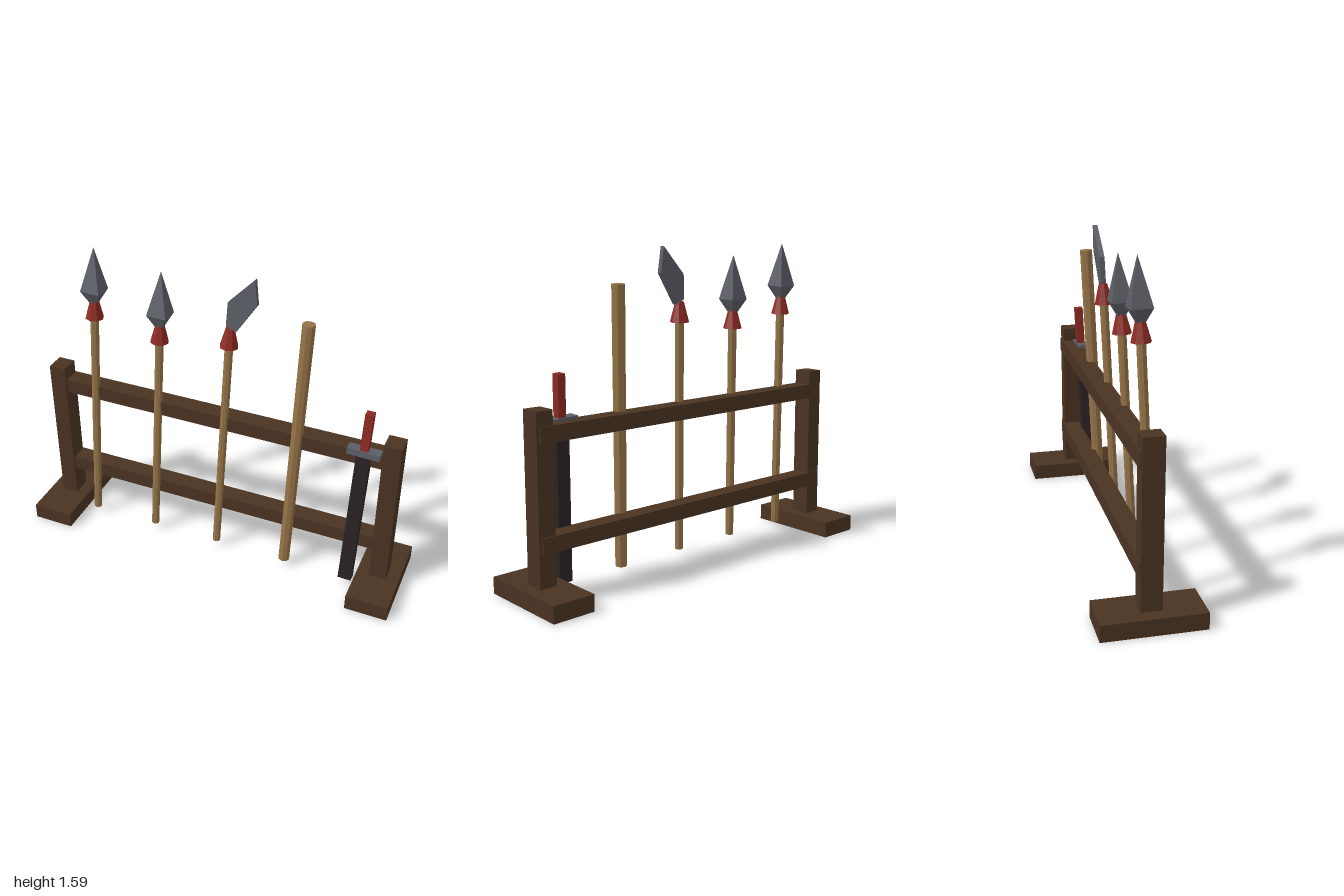
import * as THREE from 'three';

const mat = (name, color, side = THREE.FrontSide) => {
  const m = new THREE.MeshStandardMaterial({ color, side, flatShading: true });
  m.name = name;
  return m;
};

export function createModel() {
  const darkWood = mat('dark wood', 0x4a3322, THREE.DoubleSide);
  const paleWood = mat('pale wood', 0x957448);
  const red = mat('red wrap', 0x8e2a22);
  const steel = mat('steel', 0x5b5e66);
  const leather = mat('dark leather', 0x2b2224);

  const model = new THREE.Group();
  model.name = 'weaponRack';

  const add = (parent, name, geometry, material, x, y, z) => {
    const mesh = new THREE.Mesh(geometry, material);
    mesh.name = name;
    mesh.position.set(x, y, z);
    parent.add(mesh);
    return mesh;
  };
  const box = (w, h, d) => new THREE.BoxGeometry(w, h, d);

  // Foot: a box open underneath
  const openBox = (w, h, d) => {
    const g = box(w, h, d);
    const index = Array.from(g.index.array);
    index.splice(18, 6);
    g.setIndex(index);
    g.clearGroups();
    return g;
  };

  // Frame
  for (const [side, s] of [['left', 1], ['right', -1]]) {
    add(model, side + 'Foot', openBox(0.216, 0.082, 0.488), darkWood, s * 0.892, 0.041, 0);
    add(model, side + 'Post', box(0.088, 0.81, 0.1), darkWood, s * 0.892, 0.485, 0);
  }
  add(model, 'upperRail', box(1.84, 0.076, 0.092), darkWood, 0, 0.782, -0.011);
  add(model, 'lowerRail', box(1.84, 0.076, 0.092), darkWood, 0, 0.28, -0.011);

  // A group standing at its foot and leaning back against the rails
  const up = new THREE.Vector3(0, 1, 0);
  const leaning = (name, x, z, dx, dz) => {
    const g = new THREE.Group();
    g.name = name;
    g.position.set(x, 0.042, z);
    g.quaternion.setFromUnitVectors(up, new THREE.Vector3(dx, 1, dz).normalize());
    model.add(g);
    return g;
  };

  // Shaft with a flared red collar at the top
  const polearm = (name, x, length) => {
    const g = leaning(name, x, 0.065, 0.036, -0.047);
    add(g, 'shaft', new THREE.CylinderGeometry(0.022, 0.021, length, 8), paleWood, 0, length / 2, 0);
    add(g, 'collar', new THREE.CylinderGeometry(0.021, 0.047, 0.1, 8), red, 0, length - 0.03, 0);
    return g;
  };

  // Four-sided spear heads, flat faces to the front
  const spear = (name, x, length) => {
    const g = polearm(name, x, length);
    const r = 0.05 * Math.SQRT2;
    const lower = new THREE.CylinderGeometry(r, 0.026, 0.065, 4, 1).rotateY(Math.PI / 4);
    const upper = new THREE.ConeGeometry(r, 0.222, 4, 1, true).rotateY(Math.PI / 4);
    add(g, 'headBase', lower, steel, 0, length + 0.038, 0);
    add(g, 'headPoint', upper, steel, 0, length + 0.181, 0);
  };
  spear('longSpear', -0.708, 1.257);
  spear('shortSpear', -0.35, 1.202);

  // Glaive with a slanted flat blade, outlined relative to the shaft top
  const glaive = polearm('glaive', 0.013, 1.257);
  const outline = new THREE.Shape([
    [-0.018, 0.03], [0.033, 0.008], [0.128, 0.166], [0.109, 0.292], [-0.016, 0.152],
  ].map(([x, y]) => new THREE.Vector2(x, y)));
  const blade = new THREE.ExtrudeGeometry(outline, { depth: 0.024, bevelEnabled: false });
  add(glaive, 'blade', blade, steel, 0, 1.257, -0.012);

  // Plain staff
  const staff = leaning('staff', 0.395, 0.06, 0.032, -0.044);
  add(staff, 'staffPole', new THREE.CylinderGeometry(0.032, 0.029, 1.377, 8), paleWood, 0, 0.688, 0);

  // Sheathed sword
  const sword = leaning('sword', 0.732, 0.066, 0.032, -0.047);
  add(sword, 'scabbard', box(0.068, 0.77, 0.045), leather, 0, 0.385, 0);
  add(sword, 'guard', box(0.163, 0.032, 0.055), steel, 0, 0.776, 0);
  add(sword, 'grip', box(0.04, 0.205, 0.042), red, 0, 0.89, 0);

  return model;
}
